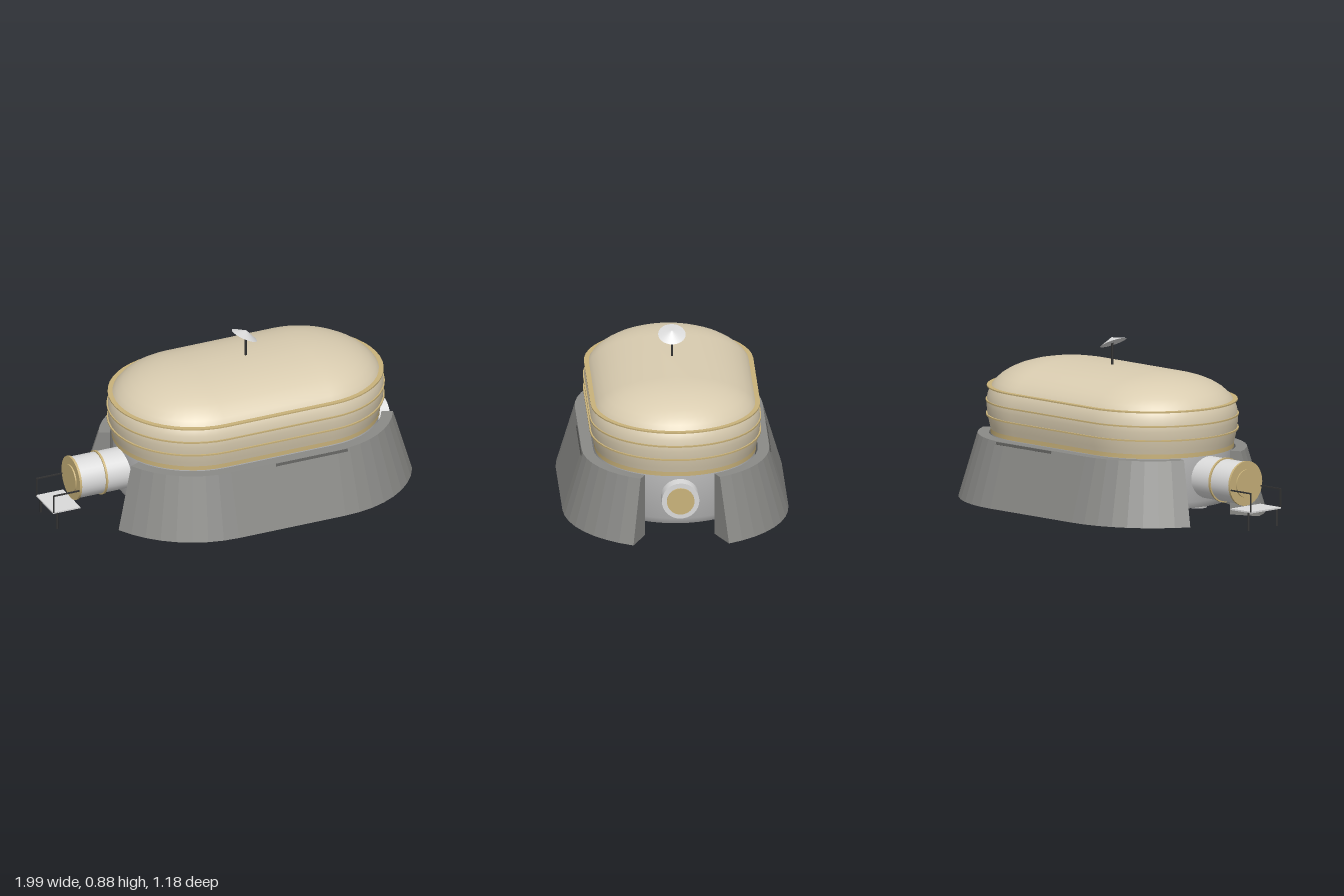
import * as THREE from 'three';
import { toCreasedNormals } from 'three/addons/utils/BufferGeometryUtils.js';

const mat = (name, color, side = THREE.FrontSide) => {
  const m = new THREE.MeshStandardMaterial({ color, side });
  m.name = name;
  return m;
};

const HALF = 0.305; // half length of the straight sides
const CENTER = 0.15; // x of the habitat's middle
const DEG = Math.PI / 180;

// Two arcs joined by a straight run: list of [arc centre x, angle]
function arcs(start, end, steps, mirrored) {
  const path = [];
  for (let i = 0; i <= steps; i++) path.push([HALF, (start + (end - start) * i / steps) * DEG]);
  for (let i = 0; i <= steps; i++) {
    const a = mirrored ? end + (end - start) * i / steps : end + 180 * i / steps;
    path.push([-HALF, a * DEG]);
  }
  return path;
}

// Sweeps a profile of [radius, height] along the path
function sweep(profile, path, closedProfile, closedPath) {
  const pos = [], index = [], n = profile.length;
  for (const [cx, a] of path) {
    for (const [r, y] of profile) pos.push(cx + r * Math.cos(a), y, r * Math.sin(a));
  }
  const runs = closedPath ? path.length : path.length - 1;
  const sides = closedProfile ? n : n - 1;
  for (let j = 0; j < runs; j++) {
    const p = j * n, q = ((j + 1) % path.length) * n;
    for (let i = 0; i < sides; i++) {
      const k = (i + 1) % n;
      index.push(p + i, p + k, q + i, p + k, q + k, q + i);
    }
  }
  if (!closedPath) { // end caps of a four-cornered profile
    const e = (path.length - 1) * n;
    index.push(0, 2, 1, 0, 3, 2, e, e + 1, e + 2, e, e + 2, e + 3);
  }
  const g = new THREE.BufferGeometry();
  g.setAttribute('position', new THREE.Float32BufferAttribute(pos, 3));
  g.setIndex(index);
  return g;
}

export function createModel() {
  const shellMat = mat('beige shell', 0xd9ccb0);
  const goldMat = mat('gold trim', 0xc9b27a);
  const bermMat = mat('grey berm', 0x8a8a87);
  const hullMat = mat('grey hull', 0xbcbcbc);
  const whiteMat = mat('light metal', 0xdadada);
  const darkMat = mat('dark metal', 0x333333);
  const slotMat = mat('slot grey', 0x5c5c5a);

  const model = new THREE.Group();
  const habitat = new THREE.Group();
  habitat.name = 'habitat';
  habitat.position.x = CENTER;
  model.add(habitat);

  const add = (parent, name, geometry, material, x = 0, y = 0, z = 0) => {
    const m = new THREE.Mesh(geometry, material);
    m.name = name;
    m.position.set(x, y, z);
    parent.add(m);
    return m;
  };
  const loop = arcs(-90, 90, 24, false);
  const stadium = (name, profile, material, closed = false) =>
    add(habitat, name, toCreasedNormals(sweep(profile, loop, closed, true), 0.55), material);
  const band = (name, r, y0, y1) =>
    stadium(name, [[r, y0], [r, y1], [r - 0.03, y1], [r - 0.03, y0]], goldMat, true);

  // Inflated shell: bulging side and rounded roof
  const dome = [[0.418, 0.345], [0.428, 0.385], [0.438, 0.43], [0.443, 0.48]];
  for (let i = 0; i < 10; i++) {
    const t = i / 10 * 90 * DEG;
    dome.push([0.443 * Math.cos(t) ** 0.9, 0.5 + 0.23 * Math.sin(t) ** 0.9]);
  }
  dome.push([0, 0.731]);
  stadium('shell', dome, shellMat);

  // Lower hull with flat underside
  stadium('lowerHull', [[0, 0.065], [0.395, 0.065], [0.415, 0.1], [0.415, 0.345]], hullMat);

  // Gold base band and straps
  band('baseBand', 0.422, 0.338, 0.362);
  band('lowerStrap', 0.447, 0.432, 0.44);
  band('middleStrap', 0.448, 0.507, 0.515);
  band('upperStrap', 0.442, 0.582, 0.589);

  // Sloped berm walls on both long sides, each with a slot near the top
  const bermProfile = [[0.59, 0], [0.49, 0.337], [0.43, 0.337], [0.43, 0]];
  const bermGeo = sweep(bermProfile, arcs(25, 90, 8, true), true, false).toNonIndexed();
  bermGeo.computeVertexNormals();
  for (const s of [1, -1]) {
    const side = new THREE.Group();
    side.name = s > 0 ? 'frontBerm' : 'backBerm';
    side.rotation.y = s > 0 ? 0 : Math.PI;
    habitat.add(side);
    add(side, 'bermWall', bermGeo, bermMat);
    const slot = add(side, 'slot', new THREE.BoxGeometry(0.41, 0.014, 0.006), slotMat, s * 0.155, 0.328, 0.493);
    slot.rotation.x = -Math.atan(0.1 / 0.337);
  }

  // Six short legs with round pads
  for (const [x, z] of [[-0.41, 0.22], [0, 0.255], [0.41, 0.22]]) {
    for (const s of [1, -1]) {
      add(habitat, 'leg', new THREE.CylinderGeometry(0.017, 0.017, 0.07, 12), darkMat, x, 0.035, s * z);
      add(habitat, 'footPad', new THREE.CylinderGeometry(0.05, 0.05, 0.008, 20), hullMat, x, 0.004, s * z);
    }
  }

  // Cylinders lying along x, from x0 to x1
  const AXIS = 0.222;
  const barrel = (name, r, x0, x1, material) => {
    const g = new THREE.CylinderGeometry(r, r, x1 - x0, 32).rotateZ(Math.PI / 2);
    return add(model, name, g, material, (x0 + x1) / 2, AXIS, 0);
  };
  // Entrance tunnel on the right
  barrel('entranceTunnel', 0.111, -0.843, -0.5, whiteMat);
  barrel('tunnelEndRing', 0.118, -0.85, -0.838, goldMat);
  barrel('tunnelMiddleRing', 0.118, -0.7, -0.689, goldMat);
  barrel('entranceDoor', 0.074, -0.857, -0.849, goldMat);
  // Port on the left
  barrel('portCollar', 0.098, 0.8, 0.936, whiteMat);
  barrel('portCover', 0.072, 0.93, 0.945, goldMat);

  // Entrance platform with railings
  const platform = new THREE.Group();
  platform.name = 'entrancePlatform';
  model.add(platform);
  add(platform, 'deck', new THREE.BoxGeometry(0.155, 0.008, 0.216), whiteMat, -0.9225, 0.098, 0);
  for (const s of [1, -1]) {
    add(platform, 'handrail', new THREE.BoxGeometry(0.155, 0.007, 0.007), darkMat, -0.9225, 0.198, s * 0.108);
    add(platform, 'railPost', new THREE.BoxGeometry(0.007, 0.1, 0.007), darkMat, -0.9965, 0.15, s * 0.108);
    add(platform, 'platformLeg', new THREE.CylinderGeometry(0.006, 0.006, 0.096, 10), darkMat, -0.975, 0.048, s * 0.103);
  }

  // Antenna: mast and tilted dish
  add(habitat, 'antennaMast', new THREE.CylinderGeometry(0.006, 0.006, 0.13, 10), darkMat, 0, 0.785, 0);
  const dish = add(habitat, 'antennaDish', new THREE.ConeGeometry(0.072, 0.03, 28), whiteMat, -0.001, 0.86, 0);
  dish.rotation.z = -0.46;

  return model;
}
